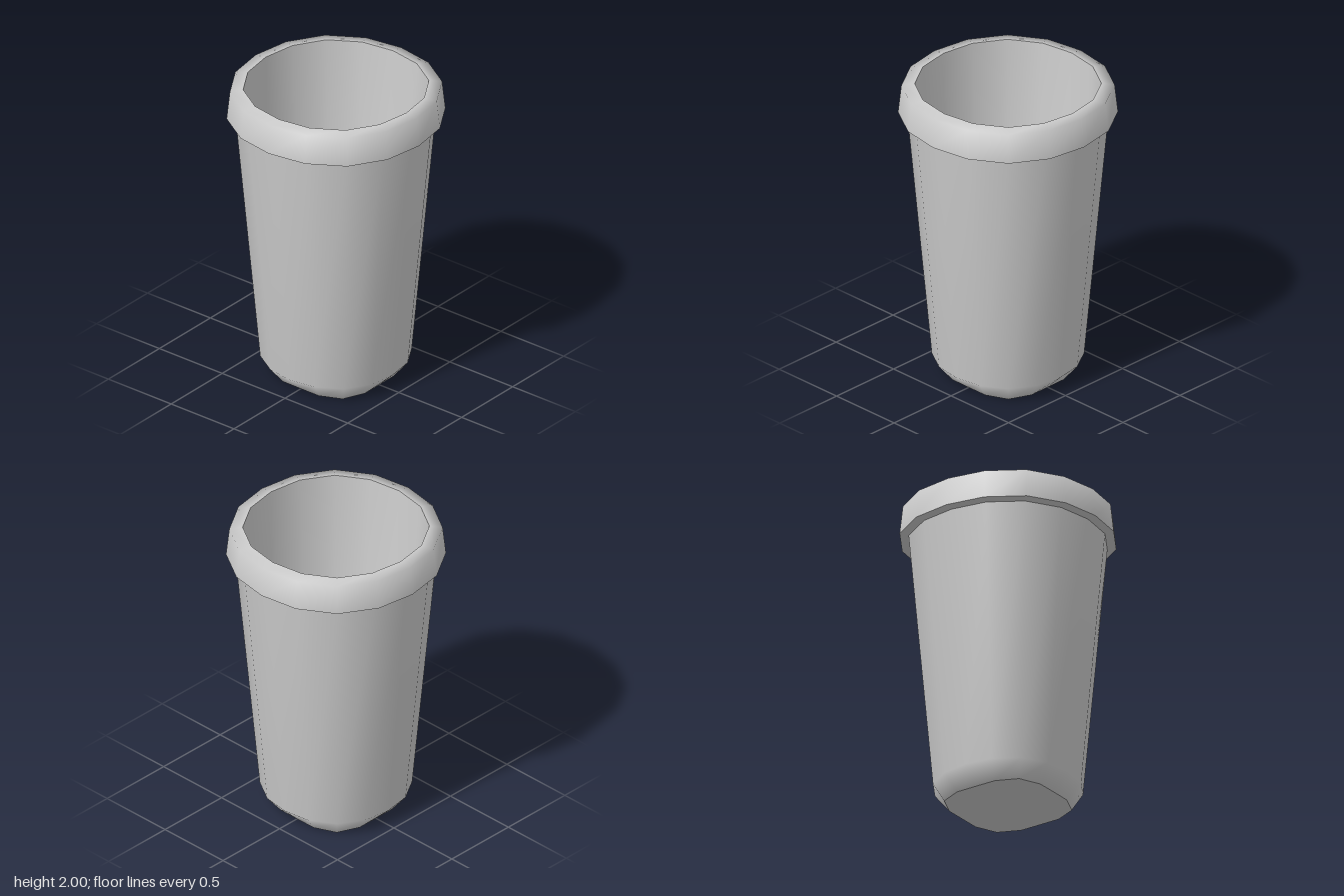
import * as THREE from 'three';

const SIDES = 16;

// Skins rings of [radius, height, squareness]; squareness pushes the diagonals outward.
function loft(rings) {
  const pos = [], idx = [];
  for (const [r, y, k] of rings) {
    for (let i = 0; i < SIDES; i++) {
      const a = (i / SIDES) * Math.PI * 2;
      const rad = r * (1 + k * (1 - Math.cos(4 * a)) / 2);
      pos.push(rad * Math.cos(a), y, rad * Math.sin(a));
    }
  }
  for (let j = 0; j < rings.length - 1; j++) {
    for (let i = 0; i < SIDES; i++) {
      const n = (i + 1) % SIDES;
      const a = j * SIDES + i, b = j * SIDES + n, c = a + SIDES, d = b + SIDES;
      if (rings[j][0] > 0) idx.push(a, c, b);
      if (rings[j + 1][0] > 0) idx.push(b, c, d);
      else if (rings[j][0] === 0) idx.push(b, c, d);
    }
  }
  const g = new THREE.BufferGeometry();
  g.setAttribute('position', new THREE.Float32BufferAttribute(pos, 3));
  g.setIndex(idx);
  g.computeVertexNormals();
  return g;
}

export function createModel() {
  const group = new THREE.Group();
  const material = new THREE.MeshStandardMaterial({ color: 0xcccccc });
  const add = (name, rings) => {
    const mesh = new THREE.Mesh(loft(rings), material);
    mesh.name = name;
    group.add(mesh);
  };

  // Flat rounded-square base
  add('base', [[0, 0, 0], [0.345, 0, 0.16]]);
  // Bevelled foot blending into the tapered wall
  add('outerWall', [[0.345, 0, 0.16], [0.455, 0.11, 0.035], [0.605, 1.79, 0.03]]);
  // Overhanging lip: underside, then band and top edge
  add('rimUnderside', [[0.605, 1.79, 0.03], [0.66, 1.8, 0.03]]);
  add('rim', [[0.66, 1.8, 0.03], [0.64, 1.988, 0.03], [0.56, 2, 0.03]]);
  // Hollow inside down to a rounded-square floor
  add('innerWall', [
    [0.56, 2, 0.03], [0.405, 0.15, 0.04], [0.3, 0.06, 0.16], [0, 0.06, 0],
  ]);
  return group;
}
